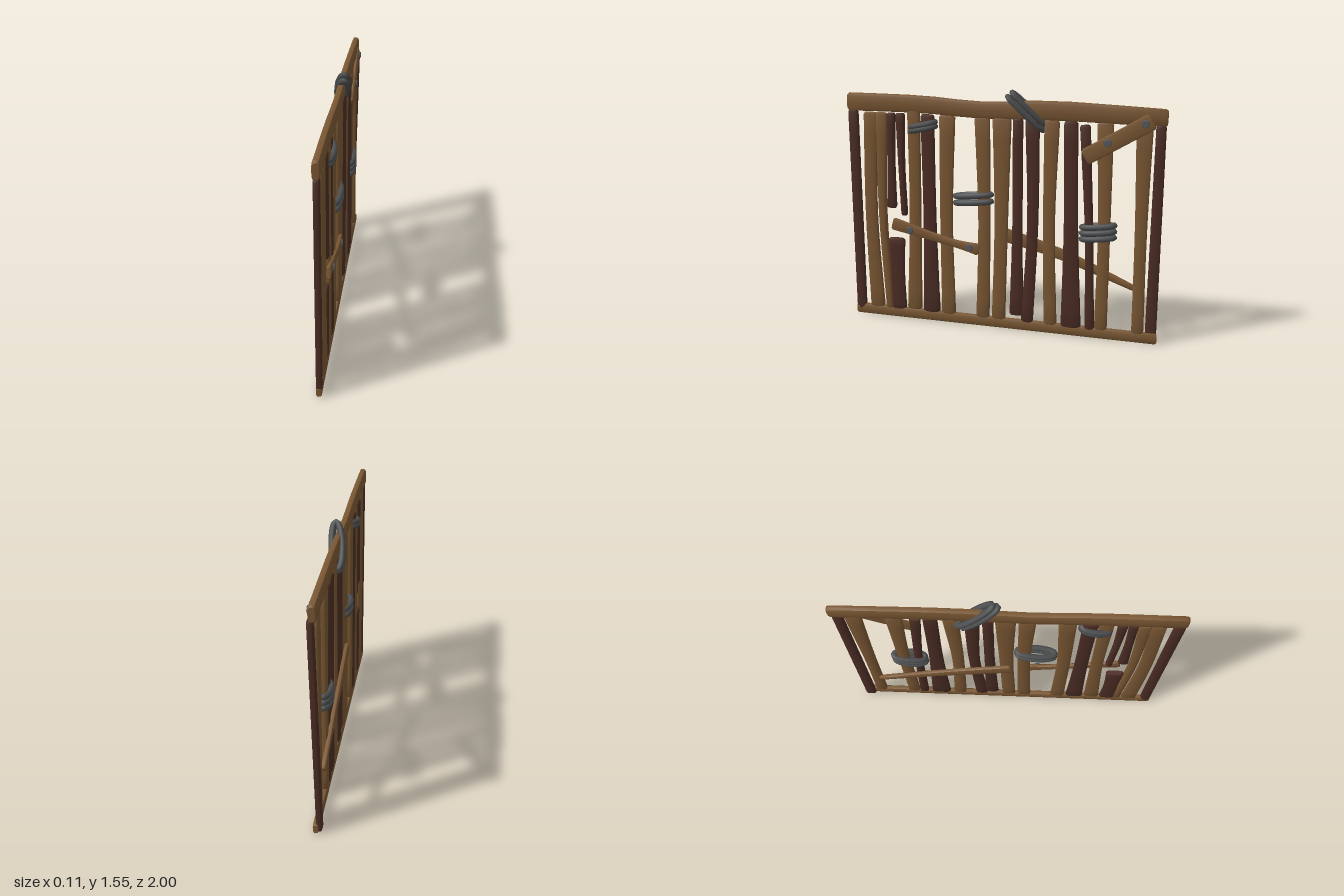
import * as THREE from 'three';
import { toCreasedNormals } from 'three/addons/utils/BufferGeometryUtils.js';

const V = (x, y, z) => new THREE.Vector3(x, y, z);

function material(name, color) {
  const m = new THREE.MeshStandardMaterial({ color });
  m.name = name;
  return m;
}

// Rounded timber swept through sections [y, z, width, x offset], with chamfered ends
function timberGeometry(sections, depth, sides = 12, steps = 10) {
  const mid = new THREE.CatmullRomCurve3(sections.map(([y, z, , x = 0]) => V(x, y, z)));
  const wide = new THREE.CatmullRomCurve3(sections.map(([, , w], i) => V(w, i, 0)));
  const pos = [], idx = [], rings = [];
  const power = v => Math.sign(v) * Math.abs(v) ** 0.6;
  for (let i = 0; i <= steps; i++) {
    const u = i / steps;
    rings.push({ c: mid.getPoint(u), t: mid.getTangent(u), w: wide.getPoint(u).x, s: 1 });
  }
  // Pull the end rings inward and add a smaller ring at each tip
  for (const [ring, dir] of [[rings[0], 1], [rings[steps], -1]]) {
    const tip = { ...ring, c: ring.c.clone(), s: 0.8 };
    ring.c.addScaledVector(ring.t, dir * 0.012);
    if (dir > 0) rings.unshift(tip); else rings.push(tip);
  }
  for (const { c, t, w, s } of rings) {
    const n = V(0, t.z, -t.y).normalize();
    for (let j = 0; j < sides; j++) {
      const a = (j / sides) * Math.PI * 2;
      const p = c.clone().addScaledVector(n, power(Math.sin(a)) * w * s / 2);
      p.x += power(Math.cos(a)) * depth * s / 2;
      pos.push(p.x, p.y, p.z);
    }
  }
  const last = rings.length - 1;
  for (let i = 0; i < last; i++) {
    for (let j = 0; j < sides; j++) {
      const a = i * sides + j, b = i * sides + (j + 1) % sides;
      idx.push(a, b, b + sides, a, b + sides, a + sides);
    }
  }
  for (let j = 1; j < sides - 1; j++) {
    idx.push(0, j + 1, j);
    idx.push(last * sides, last * sides + j, last * sides + j + 1);
  }
  const g = new THREE.BufferGeometry();
  g.setAttribute('position', new THREE.Float32BufferAttribute(pos, 3));
  g.setIndex(idx);
  return toCreasedNormals(g, 0.8);
}

export function createModel() {
  const root = new THREE.Group();
  root.name = 'stickGate';
  const brown = material('lightWood', 0x7a5733);
  const dark = material('darkWood', 0x4b2d24);
  const rope = material('rope', 0x4c4e4f);
  const iron = material('iron', 0x555a60);

  const add = (name, geometry, mat) => {
    const mesh = new THREE.Mesh(geometry, mat);
    mesh.name = name;
    root.add(mesh);
    return mesh;
  };
  const timber = (name, mat, depth, ...sections) => add(name, timberGeometry(sections, depth), mat);

  // An upright stick: z at bottom, middle and top, end widths and heights; it narrows at the waist
  const stick = (mat, z0, z1, z2, w0, w2, y0 = 0.06, y2 = 1.37) =>
    timber('stick', mat, 0.038, [y0, z0, w0], [(y0 + y2) / 2, z1, (w0 + w2) * 0.42], [y2, z2, w2]);

  // Horizontal rails
  timber('topRail', brown, 0.045, [1.432, 1, 0.115], [1.432, 0.5, 0.11], [1.413, 0.12, 0.105],
    [1.428, -0.3, 0.117], [1.412, -1, 0.105]);
  timber('bottomRail', brown, 0.036, [0.035, 1, 0.07], [0.035, -1, 0.07]);

  // End posts
  timber('frontPost', dark, 0.036, [0.02, 0.967, 0.066], [1.38, 0.967, 0.066]);
  timber('backPost', dark, 0.036, [0.01, -0.96, 0.07, -0.018], [1.37, -0.965, 0.06, 0.014]);

  // Light sticks, from front to back
  stick(brown, 0.85, 0.87, 0.848, 0.1, 0.095);
  stick(brown, 0.76, 0.79, 0.775, 0.055, 0.075);
  stick(brown, 0.587, 0.565, 0.56, 0.1, 0.085, 0.07, 1.44);
  stick(brown, 0.35, 0.356, 0.34, 0.095, 0.105);
  stick(brown, 0.118, 0.105, 0.115, 0.09, 0.1);
  stick(brown, 0.013, -0.005, -0.01, 0.09, 0.12);
  stick(brown, -0.327, -0.31, -0.32, 0.085, 0.095);
  stick(brown, -0.65, -0.652, -0.64, 0.08, 0.1);
  stick(brown, -0.88, -0.874, -0.87, 0.075, 0.1);

  // Dark sticks, some of them broken short
  stick(dark, 0.725, 0.72, 0.71, 0.065, 0.055, 0.755);
  stick(dark, 0.64, 0.65, 0.65, 0.04, 0.06, 0.71);
  stick(dark, 0.7, 0.7, 0.7, 0.11, 0.115, 0.06, 0.55);
  stick(dark, 0.467, 0.468, 0.47, 0.115, 0.09);
  stick(dark, -0.105, -0.11, -0.11, 0.09, 0.065, 0.1);
  stick(dark, -0.175, -0.207, -0.2, 0.08, 0.09);
  stick(dark, -0.46, -0.448, -0.435, 0.13, 0.085, 0.05);
  stick(dark, -0.58, -0.56, -0.52, 0.06, 0.065, 0.05, 1.35);

  // Slanted braces, two on the left face and one on the right face
  timber('lowerBrace', brown, 0.026, [0.655, 0.715, 0.085, 0.024], [0.56, 0.32, 0.05, 0.024],
    [0.525, 0.135, 0.08, 0.024]);
  timber('upperBrace', brown, 0.024, [1.16, -0.525, 0.1, 0.022], [1.395, -0.915, 0.1, 0.022]);
  timber('longBrace', brown, 0.03, [0.635, 0.03, 0.095, -0.03], [0.525, -0.38, 0.073, -0.03],
    [0.345, -0.85, 0.035, -0.022]);

  // Iron nail heads
  const nail = (y, z) => {
    const head = add('nailHead', new THREE.CylinderGeometry(0.02, 0.025, 0.014, 12), iron);
    head.rotation.z = -Math.PI / 2;
    head.position.set(0.038, y, z);
  };
  nail(0.62, 0.595);
  nail(0.537, 0.195);
  nail(1.255, -0.66);
  nail(1.378, -0.875);

  // Rope bindings: stacked slanted loops around a centre, with half spans in y and z
  const binding = (y, z, halfY, halfZ, count, stepY, stepZ = 0, lean = 0) => {
    for (let n = 0; n < count; n++) {
      const shift = n - (count - 1) / 2;
      const points = [];
      for (let i = 0; i < 12; i++) {
        const a = (i / 12) * Math.PI * 2, k = Math.cos(a);
        points.push(V(Math.sin(a) * 0.03 + k * lean, y + shift * stepY + k * halfY, z + shift * stepZ + k * halfZ));
      }
      const path = new THREE.CatmullRomCurve3(points, true);
      add('ropeLoop', new THREE.TubeGeometry(path, 48, 0.018, 8, true), rope);
    }
  };
  binding(0.852, 0.177, -0.012, 0.118, 2, 0.044);
  binding(1.294, 0.502, -0.019, 0.083, 2, 0.026);
  binding(0.695, -0.615, -0.012, 0.1, 3, 0.038);
  binding(1.416, -0.169, 0.1, 0.104, 2, 0.026, -0.028, 0.02);

  return root;
}
